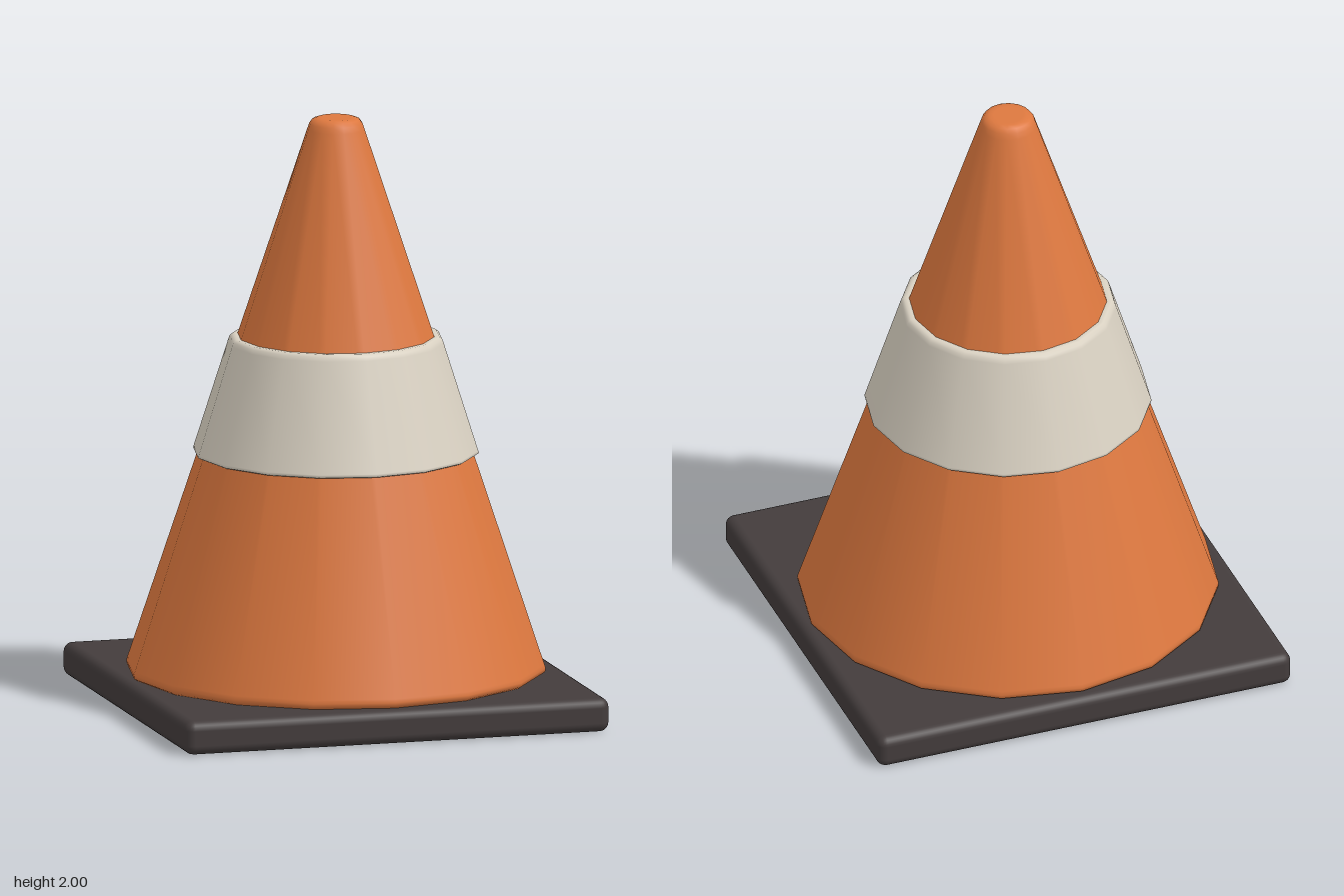
import * as THREE from 'three';
import { RoundedBoxGeometry } from 'three/addons/geometries/RoundedBoxGeometry.js';

const SIDES = 16;

function material(name, color, side = THREE.FrontSide) {
  const m = new THREE.MeshStandardMaterial({ color, side });
  m.name = name;
  return m;
}

// Turns a [radius, height] profile, listed from bottom to top, around the y axis
function turned(name, profile, mat) {
  const points = profile.map(([r, y]) => new THREE.Vector2(r, y));
  const mesh = new THREE.Mesh(new THREE.LatheGeometry(points, SIDES), mat);
  mesh.name = name;
  return mesh;
}

export function createModel() {
  const orange = material('orange plastic', 0xdd783f);
  const cream = material('cream band', 0xd9d1c2);
  const charcoal = material('charcoal rubber', 0x433c3c);

  const group = new THREE.Group();
  group.name = 'trafficCone';

  // Square foot with softened edges
  const base = new THREE.Mesh(new RoundedBoxGeometry(1.48, 0.115, 1.48, 3, 0.032), charcoal);
  base.name = 'base';
  base.position.y = 0.0575;
  group.add(base);

  // Cone body; paired points keep the bevels tight
  group.add(turned('coneBody', [
    [0, 0.113], [0.69, 0.113], [0.704, 0.122], [0.706, 0.135], [0.702, 0.147],
    [0.097, 1.96], [0.09, 1.98], [0.08, 1.994], [0.064, 2], [0.05, 2], [0, 2],
  ], orange));

  // Raised sleeve around the middle
  group.add(turned('band', [
    [0.455, 0.86], [0.474, 0.86], [0.481, 0.864], [0.479, 0.872],
    [0.363, 1.236], [0.358, 1.25], [0.348, 1.258], [0.338, 1.258], [0.325, 1.258],
  ], cream));

  return group;
}
